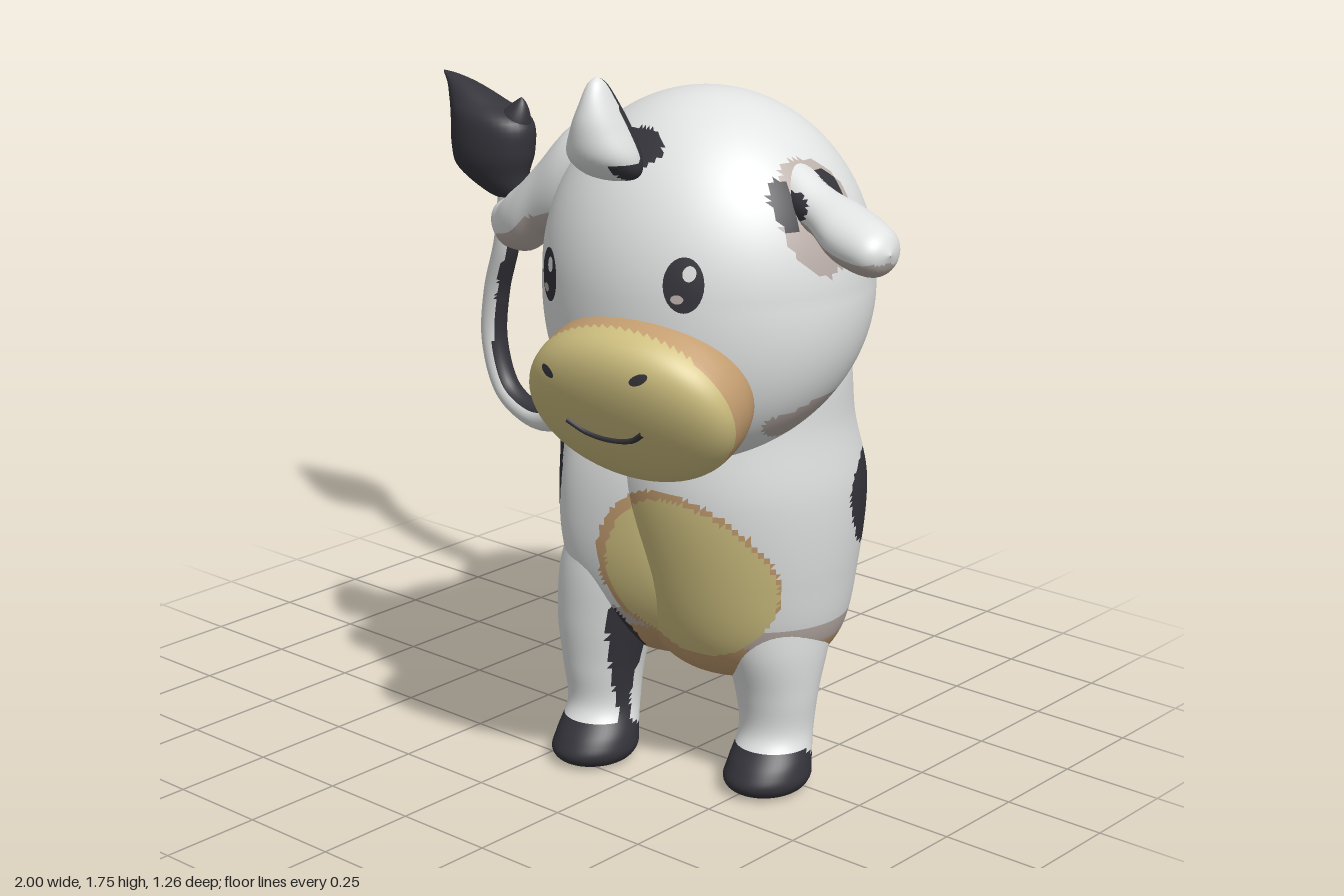
import * as THREE from 'three';

const mat = (name, color) => new THREE.MeshStandardMaterial({ name, color });
const WHITE = 0, DARK = 1, CREAM = 2, TAN = 3, GREY = 4;
const X = new THREE.Vector3(1, 0, 0), Y = new THREE.Vector3(0, 1, 0), Z = new THREE.Vector3(0, 0, 1);
const SIDE = new THREE.Vector3(0.72, 0, -0.69); // across the body

// Closed skin through rings [x, y, z, radiusU, radiusV], smoothed between rings; power < 1 squares them
function loft(stations, U, V, around, steps, power = 1) {
  const pos = [], idx = [], last = stations.length - 1;
  const st = i => stations[Math.min(Math.max(i, 0), last)];
  const bend = v => Math.sign(v) * Math.abs(v) ** power;
  for (let r = 0; r <= steps; r++) {
    const f = (r / steps) * last, i = Math.min(Math.floor(f), last - 1), t = f - i;
    const [x, y, z, a, b] = [0, 1, 2, 3, 4].map(k => {
      const p = st(i - 1)[k], q = st(i)[k], s = st(i + 1)[k], w = st(i + 2)[k];
      return 0.5 * (2 * q + (s - p) * t + (2 * p - 5 * q + 4 * s - w) * t * t + (3 * q - p - 3 * s + w) * t ** 3);
    });
    for (let j = 0; j < around; j++) {
      const h = (j / around) * Math.PI * 2;
      const cu = Math.max(a, 0.001) * bend(Math.cos(h)), cv = Math.max(b, 0.001) * bend(Math.sin(h));
      pos.push(x + U.x * cu + V.x * cv, y + U.y * cu + V.y * cv, z + U.z * cu + V.z * cv);
    }
  }
  const axis = new THREE.Vector3(...st(last).slice(0, 3)).sub(new THREE.Vector3(...st(0).slice(0, 3)));
  const outward = axis.dot(new THREE.Vector3().crossVectors(U, V)) > 0;
  for (let r = 0; r < steps; r++) for (let j = 0; j < around; j++) {
    const a = r * around + j, b = r * around + (j + 1) % around, c = a + around, d = b + around;
    idx.push(...(outward ? [a, b, c, b, d, c] : [a, c, b, b, c, d]));
  }
  const g = new THREE.BufferGeometry();
  g.setAttribute('position', new THREE.Float32BufferAttribute(pos, 3));
  g.setIndex(idx);
  g.computeVertexNormals();
  return g;
}

// Sorts triangles into colour groups by rule(centre, normal)
function paint(g, rule) {
  const p = g.attributes.position, src = g.index.array, bins = [[], [], [], [], []];
  const tri = new THREE.Triangle(), c = new THREE.Vector3(), n = new THREE.Vector3();
  for (let i = 0; i < src.length; i += 3) {
    tri.setFromAttributeAndIndices(p, src[i], src[i + 1], src[i + 2]);
    tri.getMidpoint(c);
    tri.getNormal(n);
    bins[rule(c, n)].push(src[i], src[i + 1], src[i + 2]);
  }
  g.setIndex(bins.flat());
  g.clearGroups();
  let start = 0;
  bins.forEach((b, k) => { if (b.length) g.addGroup(start, b.length, k); start += b.length; });
}

// Moves each vertex by a rule
function reshape(g, rule) {
  const p = g.attributes.position;
  for (let i = 0; i < p.count; i++) p.setXYZ(i, ...rule(p.getX(i), p.getY(i), p.getZ(i)));
  g.computeVertexNormals();
  return g;
}

// Patches as [x, y, z, rx, ry, rz] ellipsoids with a wobbly edge
const inside = (list, c) => list.some(([x, y, z, a, b, d]) =>
  ((c.x - x) / a) ** 2 + ((c.y - y) / b) ** 2 + ((c.z - z) / d) ** 2
  < 1 + 0.16 * Math.sin(31 * c.x + 23 * c.y) + 0.12 * Math.sin(37 * c.z - 29 * c.y));

const bodySpots = [
  [-0.26, 0.71, -0.05, 0.055, 0.055, 0.14], [-0.02, 0.73, 0.18, 0.07, 0.09, 0.14],
  [0.6, 0.72, -0.11, 0.15, 0.11, 0.08], [0.4, 0.89, -0.36, 0.15, 0.1, 0.09],
  [0.2, 0.75, -0.54, 0.14, 0.045, 0.06], [-0.07, 0.75, -0.62, 0.065, 0.065, 0.12],
  [-0.4, 0.85, -0.36, 0.1, 0.16, 0.09], [0.45, 1.08, -0.16, 0.12, 0.06, 0.06],
  [0.19, 0.28, 0.2, 0.03, 0.2, 0.06], [-0.2, 0.38, -0.14, 0.03, 0.1, 0.12], [0.6, 0.42, 0.17, 0.03, 0.08, 0.04],
];
const bodyGrey = [[0.32, 0.77, -0.45, 0.12, 0.055, 0.045]];

function coat(c) {
  const bib = ((c.x - 0.405) / 0.205) ** 2 + ((c.y - 0.555) / 0.2) ** 2;
  if (c.z > 0.05 && bib < 1) return CREAM;
  if (c.z > 0.05 && ((c.x - 0.395) / 0.22) ** 2 + ((c.y - 0.565) / 0.21) ** 2 < 1) return TAN;
  if (inside(bodySpots, c)) return DARK;
  const s = 0.69 * c.x + 0.72 * c.z, n = 0.72 * c.x - 0.69 * c.z - 0.19;
  const saddle = (Math.abs(s + 0.2) / 0.37) ** 3 + (Math.abs(n) / 0.31) ** 3;
  if (saddle < 1 + 0.2 * Math.sin(19 * s + 14 * n) && c.y > 0.87 + 0.03 * Math.sin(24 * s)) return DARK;
  if (s > -0.47 && c.y < 0.39) return TAN;
  return (s > -0.47 && c.y < 0.44) || inside(bodyGrey, c) ? GREY : WHITE;
}

export function createModel() {
  const cow = new THREE.Group();
  cow.name = 'cow';
  const mats = [mat('whiteCoat', 0xe2e4e3), mat('darkPatch', 0x35343b), mat('creamMuzzle', 0xcfc080),
    mat('tanBelly', 0xc39d70), mat('greyShade', 0xbcb0aa)];
  const add = (name, g, colour) => {
    const painted = typeof colour === 'function';
    if (painted) paint(g, colour);
    const m = new THREE.Mesh(g, painted ? mats : mats[colour]);
    m.name = name;
    cow.add(m);
    return m;
  };

  // Torso, set diagonally
  add('body', loft([
    [-0.4, 0.67, -0.49, 0.001, 0.001], [-0.378, 0.67, -0.48, 0.12, 0.18], [-0.32, 0.67, -0.465, 0.21, 0.29],
    [-0.223, 0.675, -0.434, 0.28, 0.37], [-0.07, 0.68, -0.347, 0.335, 0.42], [0.068, 0.67, -0.203, 0.335, 0.43],
    [0.19, 0.67, -0.06, 0.33, 0.42], [0.3, 0.665, 0.06, 0.31, 0.37], [0.42, 0.67, 0.14, 0.19, 0.24],
    [0.47, 0.67, 0.18, 0.001, 0.001]], SIDE, Y, 160, 130, 0.88), coat);

  // Chest rising into the neck
  add('chest', loft([
    [0.37, 0.27, -0.02, 0.001, 0.001], [0.37, 0.285, -0.02, 0.15, 0.14], [0.37, 0.38, -0.02, 0.25, 0.22],
    [0.375, 0.55, -0.01, 0.285, 0.265], [0.375, 0.75, 0, 0.305, 0.29], [0.38, 0.92, 0.02, 0.29, 0.25],
    [0.4, 1.1, 0.03, 0.27, 0.2], [0.4, 1.3, 0.05, 0.2, 0.15]], X, Z, 130, 100), coat);

  // Legs: [name, ankle x, z, top x, z, thigh radii], each leaning into the torso
  for (const [name, x, z, tx, tz, ra, rb] of [
    ['frontRightLeg', 0.085, 0.155, 0.16, 0.11, 0.125, 0.12], ['frontLeftLeg', 0.51, 0.015, 0.46, 0.0, 0.12, 0.14],
    ['backRightLeg', -0.35, -0.36, -0.24, -0.36, 0.14, 0.14], ['backLeftLeg', 0.12, -0.495, 0.06, -0.42, 0.135, 0.12]]) {
    const fx = x + 0.01, fz = z + 0.045, mx = x + (tx - x) * 0.45, mz = z + (tz - z) * 0.45;
    add(name, loft([
      [fx, 0.01, fz, 0.001, 0.001], [fx, 0.013, fz, 0.07, 0.08], [fx, 0.04, fz, 0.098, 0.112],
      [fx, 0.08, fz - 0.01, 0.096, 0.105], [x, 0.15, z, 0.088, 0.09], [x, 0.25, z, 0.1, 0.1],
      [x + (tx - x) * 0.12, 0.38, z + (tz - z) * 0.12, ra, rb], [mx, 0.53, mz, ra + 0.015, rb + 0.015],
      [tx, 0.68, tz, 0.12, 0.12], [tx, 0.75, tz, 0.001, 0.001]], X, Z, 48, 60),
    (c, n) => {
      if (c.y < Math.min(0.115, 0.1 + 0.5 * (c.z - z + 0.02))) return DARK;
      if (inside(bodySpots, c)) return DARK;
      return z < -0.2 && c.y < 0.3 && n.z < 0.3 && n.x < 0.5 ? GREY : WHITE;
    });
  }

  // Head: wide low cheeks, jaw pushed forward, flatter face
  const headSpots = [[0.37, 1.48, -0.12, 0.2, 0.2, 0.16], [0.39, 1.6, 0.42, 0.09, 0.06, 0.06],
    [0.75, 1.49, 0.16, 0.06, 0.07, 0.04], [0.74, 1.51, 0.3, 0.05, 0.07, 0.03]];
  const headGrey = [[0.75, 1.0, 0.13, 0.22, 0.06, 0.18], [0.76, 1.46, 0.21, 0.1, 0.14, 0.11],
    [0.08, 1.25, 0.0, 0.14, 0.18, 0.14]];
  const skull = reshape(new THREE.SphereGeometry(1, 120, 90), (x, y, z) => {
    const low = Math.max(0, -y);
    return [0.425 + x * 0.385 * (1 + 0.1 * low), 1.285 + y * 0.413, 0.185 + z * (z > 0 ? 0.35 : 0.365) + 0.09 * low * low];
  });
  const head = add('head', skull, c => {
    if (inside([[0.41, 1.64, -0.01, 0.06, 0.05, 0.04]], c)) return WHITE;
    return inside(headSpots, c) ? DARK : inside(headGrey, c) ? GREY : WHITE;
  });

  // Muzzle: blunt front, fuller at the top, with a tan rim sunk into the head
  const snout = reshape(new THREE.SphereGeometry(1, 72, 56).rotateX(Math.PI / 2), (x, y, z) =>
    [x * 0.267, y * 0.2, z > 0 ? z ** 0.6 * 0.13 * (1 + 0.2 * y) : z * 0.2]);
  const tilt = new THREE.Matrix4().makeTranslation(0.475, 1.06, 0.465)
    .multiply(new THREE.Matrix4().makeRotationFromEuler(new THREE.Euler(0.34, 0.12, 0.07, 'YXZ')));
  const untilt = tilt.clone().invert(), local = new THREE.Vector3();
  const muzzle = add('muzzle', snout.applyMatrix4(tilt), c => {
    local.copy(c).applyMatrix4(untilt);
    return local.z > 0.035 ? CREAM : TAN;
  });

  // Face details follow the surface beneath them
  const ray = new THREE.Raycaster();
  const frontZ = (mesh, x, y) => {
    ray.set(new THREE.Vector3(x, y, 2), new THREE.Vector3(0, 0, -1));
    const hit = ray.intersectObject(mesh)[0];
    return hit ? hit.point.z : 0.5;
  };
  const decal = (name, on, x, y, rx, ry, turn, lift, colour) => add(name,
    reshape(new THREE.RingGeometry(0, 1, 28, 4).scale(rx, ry, 1).rotateZ(turn).translate(x, y, 0),
      (px, py) => [px, py, frontZ(on, px, py) + lift]), colour);
  for (const [side, x, y] of [['right', 0.225, 1.295], ['left', 0.615, 1.335]]) {
    decal(side + 'Eye', head, x, y, 0.04, 0.06, 0.07, 0.005, DARK);
    decal(side + 'EyeGlint', head, x + 0.012, y + 0.026, 0.013, 0.017, 0, 0.008, WHITE);
    decal(side + 'EyeShine', head, x - 0.008, y - 0.03, 0.013, 0.01, 0, 0.008, GREY);
  }
  decal('rightNostril', muzzle, 0.345, 1.125, 0.022, 0.011, -0.4, 0.004, DARK);
  decal('leftNostril', muzzle, 0.592, 1.148, 0.022, 0.011, 0.5, 0.004, DARK);
  const smile = [[0.375, 1.015], [0.42, 0.993], [0.48, 0.985], [0.54, 0.995], [0.575, 1.018]]
    .map(([x, y]) => new THREE.Vector3(x, y, frontZ(muzzle, x, y)));
  add('mouth', new THREE.TubeGeometry(new THREE.CatmullRomCurve3(smile), 24, 0.007, 8), DARK);

  // Ears
  const earCoat = (c, n) => (inside(headSpots, c) ? DARK : n.y < -0.35 ? GREY : WHITE);
  add('leftEar', loft([
    [0.62, 1.49, 0.2, 0.12, 0.08], [0.7, 1.495, 0.21, 0.075, 0.065], [0.78, 1.475, 0.225, 0.052, 0.065],
    [0.86, 1.443, 0.24, 0.062, 0.085], [0.94, 1.425, 0.26, 0.058, 0.075], [0.98, 1.422, 0.27, 0.04, 0.05],
    [1.0, 1.425, 0.28, 0.001, 0.001]], Y, Z, 36, 40), earCoat);
  add('rightEar', loft([
    [0.22, 1.5, 0.24, 0.13, 0.1], [0.12, 1.465, 0.27, 0.13, 0.09], [0.035, 1.415, 0.28, 0.092, 0.075],
    [-0.03, 1.36, 0.27, 0.088, 0.08], [-0.09, 1.335, 0.25, 0.075, 0.075], [-0.15, 1.315, 0.225, 0.057, 0.055],
    [-0.19, 1.318, 0.21, 0.037, 0.037], [-0.21, 1.325, 0.2, 0.001, 0.001]], Y, Z, 36, 44), earCoat);

  // Forelock, dark behind
  add('forelock', loft([
    [0.39, 1.525, 0.46, 0.001, 0.001], [0.39, 1.54, 0.465, 0.07, 0.045], [0.39, 1.585, 0.488, 0.085, 0.075],
    [0.395, 1.65, 0.505, 0.06, 0.07], [0.4, 1.705, 0.517, 0.035, 0.048], [0.4, 1.745, 0.522, 0.018, 0.024],
    [0.4, 1.76, 0.523, 0.001, 0.001]], X, Z, 36, 36),
  (c, n) => (n.z < -0.3 || (c.y < 1.575 && Math.abs(c.x - 0.39) > 0.055) ? DARK : WHITE));

  // Tail, dark along the inside of its curve
  const path = [[-0.36, 0.88, -0.34], [-0.47, 0.72, -0.38], [-0.57, 0.61, -0.41], [-0.7, 0.57, -0.44], [-0.82, 0.62, -0.45],
    [-0.87, 0.75, -0.45], [-0.85, 0.9, -0.44], [-0.79, 1.05, -0.42], [-0.76, 1.2, -0.41]].map(p => new THREE.Vector3(...p));
  const hub = new THREE.Vector3(-0.62, 0.9, -0.43), toHub = new THREE.Vector3();
  add('tail', new THREE.TubeGeometry(new THREE.CatmullRomCurve3(path), 110, 0.036, 24),
    (c, n) => (c.y < 1.08 && toHub.subVectors(hub, c).normalize().dot(n) > 0.5) || c.x > -0.46 ? DARK : WHITE);
  add('tailTuft', loft([
    [-0.765, 1.17, -0.41, 0.001, 0.001], [-0.775, 1.19, -0.41, 0.06, 0.045], [-0.815, 1.25, -0.4, 0.112, 0.075],
    [-0.817, 1.31, -0.4, 0.13, 0.09], [-0.822, 1.39, -0.4, 0.13, 0.085], [-0.875, 1.435, -0.4, 0.088, 0.06],
    [-0.925, 1.47, -0.4, 0.052, 0.035], [-0.97, 1.49, -0.4, 0.025, 0.015], [-1.0, 1.497, -0.4, 0.001, 0.001]],
  X, Z, 36, 48), DARK);
  add('tailTuftPoint', loft([
    [-0.77, 1.32, -0.4, 0.075, 0.06], [-0.745, 1.39, -0.4, 0.056, 0.045], [-0.72, 1.435, -0.4, 0.025, 0.02],
    [-0.71, 1.457, -0.4, 0.001, 0.001]], X, Z, 24, 18), DARK);
  return cow;
}
